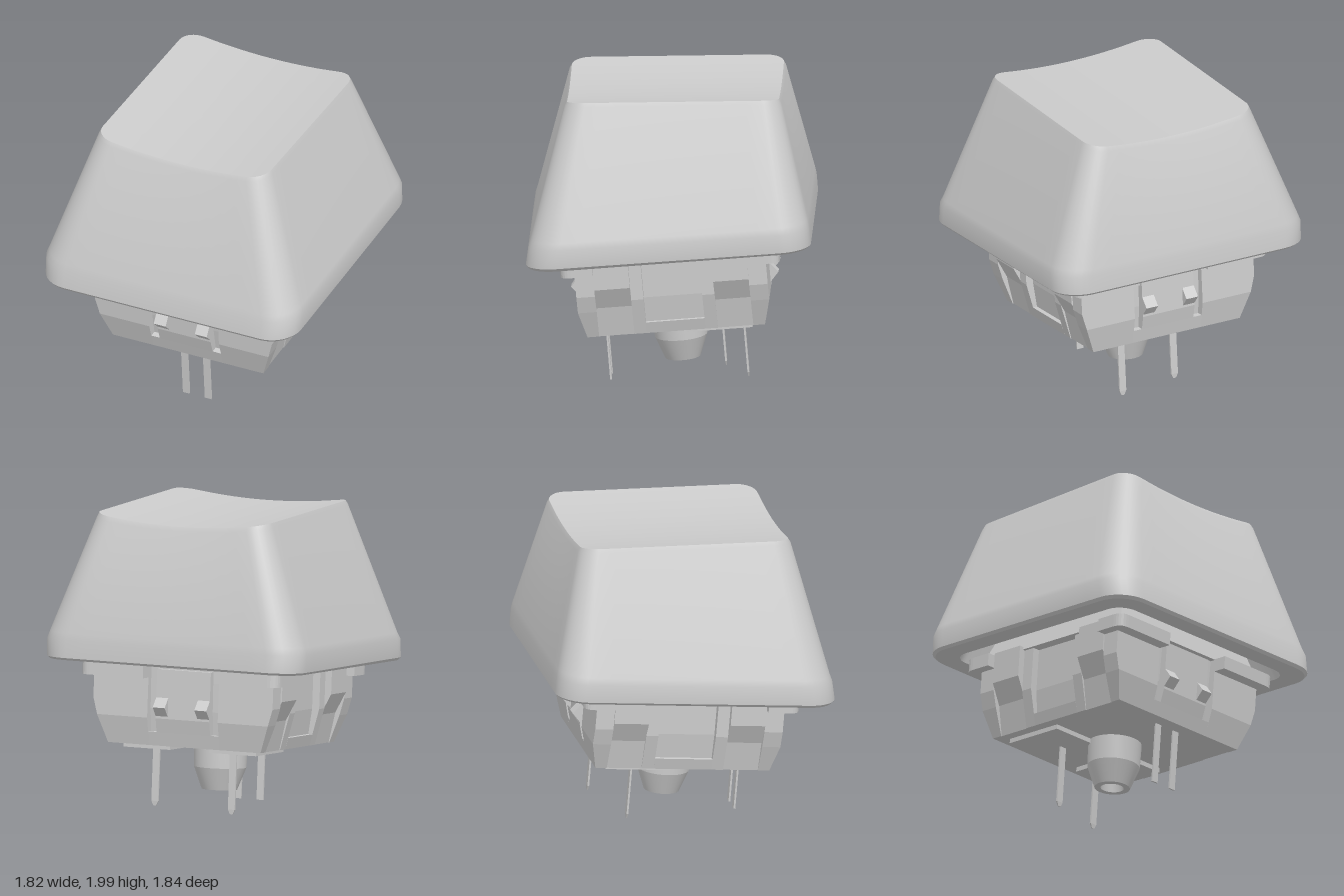
import * as THREE from 'three';
import { toCreasedNormals } from 'three/addons/utils/BufferGeometryUtils.js';

const grey = new THREE.MeshStandardMaterial({ color: 0xcccccc });

function add(parent, name, geometry) {
  const mesh = new THREE.Mesh(geometry, grey);
  mesh.name = name;
  parent.add(mesh);
  return mesh;
}

// Closed flat-shaded solid through rectangles [y, x0, x1, z0, z1], listed from bottom to top.
// sx and sz mirror it across the x = 0 and z = 0 planes.
function loft(rings, sx = 1, sz = 1) {
  const pos = [];
  const loops = rings.map(([y, a, b, c, d]) => {
    const x0 = Math.min(a * sx, b * sx), x1 = Math.max(a * sx, b * sx);
    const z0 = Math.min(c * sz, d * sz), z1 = Math.max(c * sz, d * sz);
    return [[x0, y, z0], [x1, y, z0], [x1, y, z1], [x0, y, z1]];
  });
  const quad = (a, b, c, d) => pos.push(...a, ...b, ...c, ...a, ...c, ...d);
  for (let i = 0; i < loops.length - 1; i++) {
    const lo = loops[i], hi = loops[i + 1];
    for (let j = 0; j < 4; j++) {
      const k = (j + 1) % 4;
      quad(lo[j], hi[j], hi[k], lo[k]);
    }
  }
  quad(...loops[0]);
  quad(...loops[loops.length - 1].slice().reverse());
  const g = new THREE.BufferGeometry();
  g.setAttribute('position', new THREE.Float32BufferAttribute(pos, 3));
  g.computeVertexNormals();
  return g;
}

// One rounded-rectangle section of the cap, sloping front to back and dished across x.
function capRing({ hx, zf, zb, yf, yb, r, dish = 0, s = 1 }) {
  const zc = (zf + zb) / 2, hz = (zf - zb) / 2, pts = [];
  const arc = 8, side = 12;
  const corners = [[1, 1], [-1, 1], [-1, -1], [1, -1]];
  const outline = [];
  corners.forEach(([cx, cz], q) => {
    for (let i = 0; i <= arc; i++) {
      const t = (q + i / arc) * Math.PI / 2;
      outline.push([cx * (hx - r) + r * Math.cos(t), cz * (hz - r) + r * Math.sin(t)]);
    }
  });
  outline.forEach((p, i) => {
    const n = outline[(i + 1) % outline.length];
    const steps = i % (arc + 1) === arc ? side : 1;
    for (let k = 0; k < steps; k++) {
      const x = (p[0] + (n[0] - p[0]) * k / steps) * s;
      const dz = (p[1] + (n[1] - p[1]) * k / steps) * s;
      const y = yb + (yf - yb) * (dz + hz) / (2 * hz) - dish * (1 - (x / hx) ** 2);
      pts.push([x, y, zc + dz]);
    }
  });
  return pts;
}

function capGeometry() {
  const innerTop = { hx: 0.5, zf: 0.55, zb: -0.58, yf: 1.75, yb: 1.78, r: 0.1 };
  const top = { hx: 0.605, zf: 0.662, zb: -0.707, yf: 1.97, yb: 2.0, r: 0.12, dish: 0.05 };
  const specs = [
    // hollow inside
    { ...innerTop, s: 0 }, innerTop,
    { hx: 0.76, zf: 0.77, zb: -0.77, yf: 0.917, yb: 1.048, r: 0.12 },
    // rim and lower band
    { hx: 0.89, zf: 0.905, zb: -0.905, yf: 0.906, yb: 1.059, r: 0.19 },
    { hx: 0.907, zf: 0.92, zb: -0.92, yf: 0.925, yb: 1.075, r: 0.2 },
    { hx: 0.91, zf: 0.903, zb: -0.91, yf: 1.05, yb: 1.19, r: 0.2 },
    // sloping walls
    { hx: 0.895, zf: 0.89, zb: -0.9, yf: 1.09, yb: 1.235, r: 0.2 },
    { hx: 0.617, zf: 0.677, zb: -0.722, yf: 1.945, yb: 1.972, r: 0.13, dish: 0.05 },
    // dished top
    ...[1, 0.97, 0.85, 0.7, 0.55, 0.4, 0.2, 0].map((s) => ({ ...top, s })),
  ];
  const rings = specs.map(capRing), n = rings[0].length, pos = [];
  for (let i = 0; i < rings.length - 1; i++) {
    for (let j = 0; j < n; j++) {
      const k = (j + 1) % n;
      const a = rings[i][j], b = rings[i][k], c = rings[i + 1][j], d = rings[i + 1][k];
      if (specs[i].s !== 0) pos.push(...a, ...c, ...b);
      if (specs[i + 1].s !== 0) pos.push(...b, ...c, ...d);
    }
  }
  const g = new THREE.BufferGeometry();
  g.setAttribute('position', new THREE.Float32BufferAttribute(pos, 3));
  return toCreasedNormals(g, 0.55);
}

// Corner piece of the flange with one rounded outer corner.
function flangeCorner(sx, sz) {
  const s = new THREE.Shape();
  s.moveTo(0.25 * sx, -0.5 * sz);
  s.lineTo(0.7 * sx, -0.5 * sz);
  s.lineTo(0.7 * sx, -0.64 * sz);
  s.quadraticCurveTo(0.7 * sx, -0.71 * sz, 0.63 * sx, -0.71 * sz);
  s.lineTo(0.25 * sx, -0.71 * sz);
  s.closePath();
  const g = new THREE.ExtrudeGeometry(s, { depth: 0.085, bevelEnabled: false, curveSegments: 6 });
  return g.rotateX(-Math.PI / 2).translate(0, -0.1, 0);
}

export function createModel() {
  const model = new THREE.Group();
  model.name = 'keySwitch';
  add(model, 'keycap', capGeometry());

  // The switch leans with the lower edge of the cap.
  const sw = new THREE.Group();
  sw.name = 'switchBody';
  sw.position.y = 0.9825;
  sw.rotation.x = 0.0845;
  model.add(sw);

  add(sw, 'upperHousing', loft([[-0.02, -0.62, 0.62, -0.62, 0.62], [0.5, -0.42, 0.42, -0.45, 0.45]]));
  add(sw, 'capMount', new THREE.CylinderGeometry(0.28, 0.28, 0.4, 24).translate(0, 0.65, 0));
  add(sw, 'housingCore', loft([
    [-0.54, -0.52, 0.52, -0.54, 0.54], [-0.3, -0.55, 0.55, -0.57, 0.57], [-0.01, -0.55, 0.55, -0.58, 0.58]]));

  for (const sz of [1, -1]) {
    // walls on the front and back, with a slot on either side of the middle tongue
    add(sw, 'wallTongue', loft([
      [-0.45, -0.19, 0.19, 0.4, 0.597], [-0.36, -0.19, 0.19, 0.4, 0.62], [-0.04, -0.19, 0.19, 0.4, 0.62]], 1, sz));
    add(sw, 'wallSill', loft([[-0.54, -0.25, 0.25, 0.4, 0.575], [-0.45, -0.25, 0.25, 0.4, 0.597]], 1, sz));
    for (const sx of [1, -1]) {
      add(sw, 'cornerWall', loft([
        [-0.54, 0.25, 0.54, 0.5, 0.575], [-0.36, 0.25, 0.605, 0.5, 0.62],
        [-0.25, 0.25, 0.635, 0.5, 0.62], [-0.09, 0.25, 0.635, 0.5, 0.62]], sx, sz));
      add(sw, 'flangeCorner', flangeCorner(sx, sz));
      add(sw, 'clipNub', loft([
        [-0.35, 0.105, 0.19, 0.55, 0.615], [-0.286, 0.105, 0.19, 0.55, 0.672],
        [-0.224, 0.105, 0.19, 0.55, 0.62]], sx, sz));
      // side columns, stepping in below a ramp
      add(sw, 'sideColumn', loft([
        [-0.54, 0.4, 0.535, 0.27, 0.5], [-0.343, 0.4, 0.575, 0.27, 0.5],
        [-0.207, 0.4, 0.645, 0.27, 0.5], [0, 0.4, 0.645, 0.27, 0.5]], sx, sz));
      // frame posts beside the side window
      add(sw, 'windowPost', loft([
        [-0.54, 0.4, 0.54, 0.19, 0.27], [-0.3, 0.4, 0.6, 0.19, 0.27], [0, 0.4, 0.6, 0.19, 0.27]], sx, sz));
    }
  }
  for (const sx of [1, -1]) {
    add(sw, 'windowSill', loft([[-0.54, 0.4, 0.54, -0.19, 0.19], [-0.465, 0.4, 0.56, -0.19, 0.19]], sx));
    add(sw, 'pinPad', loft([[-0.57, 0.14, 0.47, -0.49, -0.06], [-0.53, 0.14, 0.47, -0.49, -0.06]], sx));
    add(sw, 'frontPin', loft([
      [-0.941, 0.055, 0.102, 0.465, 0.477], [-0.5, 0.055, 0.102, 0.465, 0.477]], sx));
  }

  // contact pins with pointed tips: [x, z, tip height]
  for (const [x, z, tip] of [[-0.21, -0.264, -0.978], [0.26, -0.427, -0.942]]) {
    add(sw, 'contactPin', loft([
      [tip, x - 0.01, x + 0.01, z - 0.003, z + 0.003],
      [tip + 0.03, x - 0.024, x + 0.024, z - 0.006, z + 0.006],
      [-0.5, x - 0.024, x + 0.024, z - 0.006, z + 0.006]]));
  }

  // round locating post with a shallow hole in its end
  const post = [[0, -0.79], [0.07, -0.79], [0.075, -0.845], [0.115, -0.845], [0.17, -0.7], [0.175, -0.5]]
    .map(([r, y]) => new THREE.Vector2(r, y));
  add(sw, 'locatingPost', toCreasedNormals(new THREE.LatheGeometry(post, 28), 0.3));

  return model;
}
